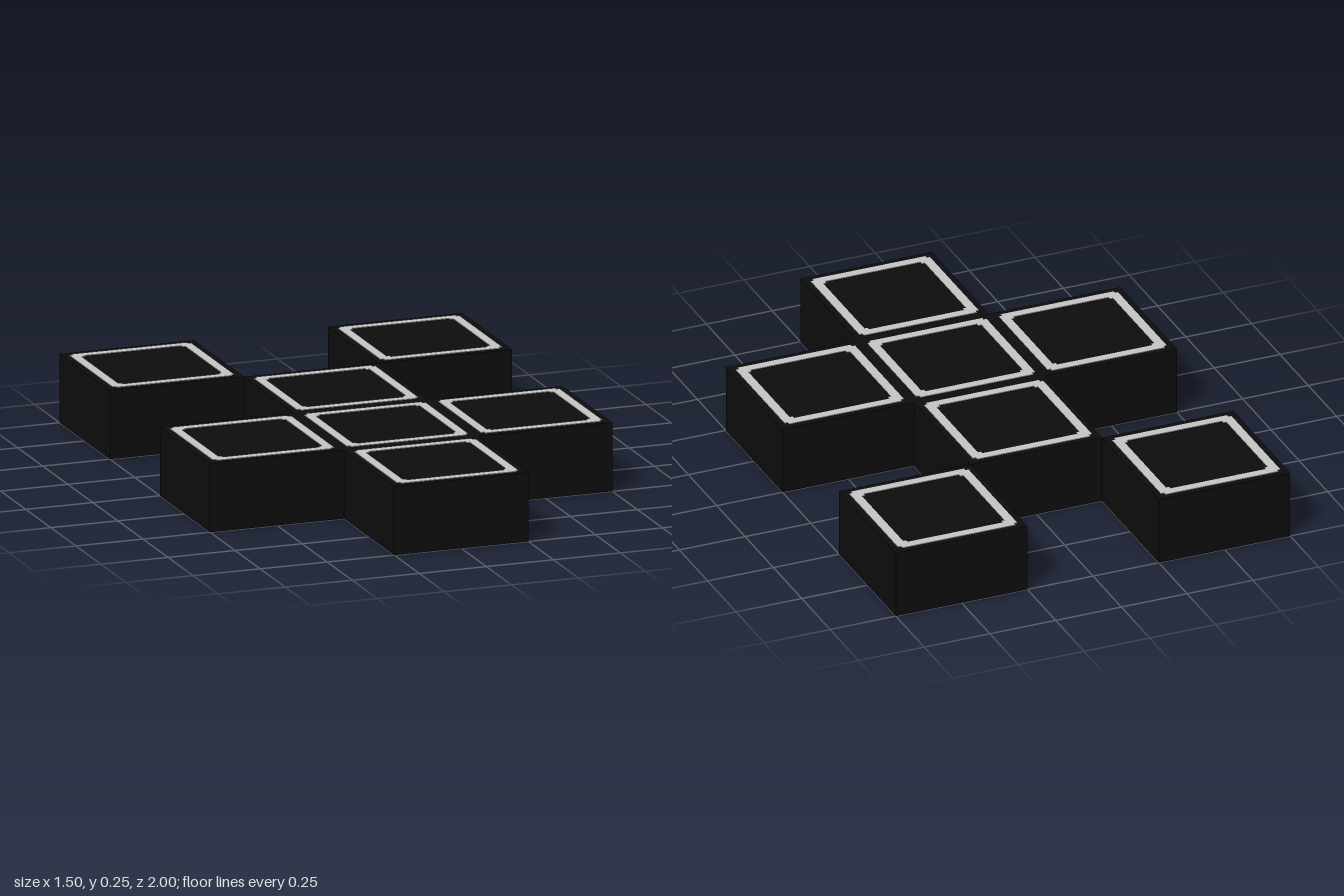
import * as THREE from 'three';

const SIZE = 0.5, HEIGHT = 0.25;

// square outline whose corners are stepped in by one small notch
function notchedSquare(path, half, notch) {
  const a = half, b = half - notch;
  const quarter = [[a, b], [b, b], [b, a]];
  const points = [];
  for (let i = 0; i < 4; i++) {
    for (const [x, y] of quarter) {
      let p = [x, y];
      for (let k = 0; k < i; k++) p = [-p[1], p[0]];
      points.push(new THREE.Vector2(p[0], p[1]));
    }
  }
  return path.setFromPoints(points);
}

export function createModel() {
  const black = new THREE.MeshStandardMaterial({ color: 0x0d0d0d });
  black.name = 'black';
  const lightGrey = new THREE.MeshStandardMaterial({ color: 0xc4c4c4 });
  lightGrey.name = 'light grey';

  const blockGeometry = new THREE.BoxGeometry(SIZE, HEIGHT, SIZE);
  blockGeometry.translate(0, HEIGHT / 2, 0);

  // thin frame plate lying on the top of each block
  const frame = notchedSquare(new THREE.Shape(), 0.227, 0.012);
  frame.holes.push(notchedSquare(new THREE.Path(), 0.193, 0.012));
  const frameGeometry = new THREE.ExtrudeGeometry(frame, { depth: 0.002, bevelEnabled: false });
  frameGeometry.rotateX(-Math.PI / 2);
  frameGeometry.translate(0, HEIGHT, 0);

  // block centres as [x, z]
  const layout = {
    backRight: [-0.5, -0.75], backLeft: [0.5, -0.75],
    upperCentre: [0, -0.25],
    middleRight: [-0.5, 0.25], middleCentre: [0, 0.25], middleLeft: [0.5, 0.25],
    frontCentre: [0, 0.75],
  };

  const model = new THREE.Group();
  model.name = 'blockCluster';
  for (const [name, [x, z]] of Object.entries(layout)) {
    const group = new THREE.Group();
    group.name = name + 'Block';
    const body = new THREE.Mesh(blockGeometry, black);
    body.name = 'body';
    const trim = new THREE.Mesh(frameGeometry, lightGrey);
    trim.name = 'topFrame';
    group.add(body, trim);
    group.position.set(x, 0, z);
    model.add(group);
  }
  return model;
}
